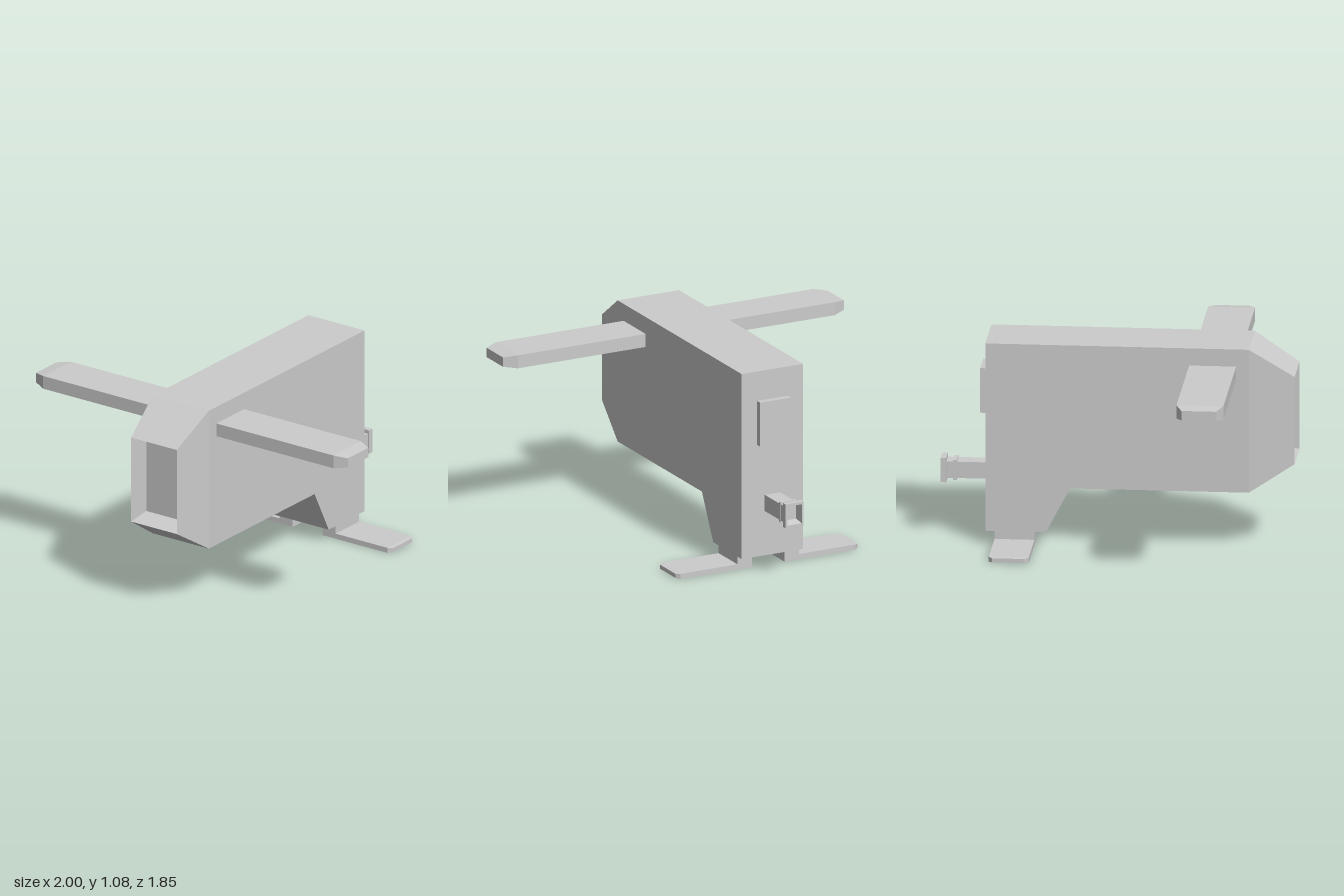
import * as THREE from 'three';

const material = new THREE.MeshStandardMaterial({ color: 0xcccccc, flatShading: true });

function addMesh(parent, name, geometry) {
  const mesh = new THREE.Mesh(geometry, material);
  mesh.name = name;
  parent.add(mesh);
  return mesh;
}

// Rectangular sections [z, halfWidth, bottom, top] skinned in order; the last one is capped.
// Sections that turn back towards the start form a recess.
function loft(sections) {
  const points = [];
  const index = [];
  sections.forEach(([z, w, y0, y1], s) => {
    points.push(-w, y0, z, w, y0, z, w, y1, z, -w, y1, z);
    if (s === 0) return;
    const a = (s - 1) * 4, b = s * 4;
    for (let i = 0; i < 4; i++) {
      const j = (i + 1) % 4;
      index.push(a + i, a + j, b + j, a + i, b + j, b + i);
    }
  });
  const e = (sections.length - 1) * 4;
  index.push(e, e + 1, e + 2, e, e + 2, e + 3);
  const indexed = new THREE.BufferGeometry();
  indexed.setAttribute('position', new THREE.Float32BufferAttribute(points, 3));
  indexed.setIndex(index);
  const geometry = indexed.toNonIndexed();
  geometry.computeVertexNormals();
  return geometry;
}

function box(x0, x1, y0, y1, z0, z1) {
  return new THREE.BoxGeometry(x1 - x0, y1 - y0, z1 - z0)
    .translate((x0 + x1) / 2, (y0 + y1) / 2, (z0 + z1) / 2);
}

export function createModel() {
  const model = new THREE.Group();

  // Slab body with the lower rear leg, from its side profile
  const profile = new THREE.Shape([
    [0.74, 1.08], [-0.63, 1.08], [-0.63, 0.07], [-0.315, 0.07], [-0.19, 0.31], [0.74, 0.31],
  ].map(([z, y]) => new THREE.Vector2(z, y)));
  const bodyGeometry = new THREE.ExtrudeGeometry(profile, { depth: 0.36, bevelEnabled: false });
  bodyGeometry.translate(0, 0, -0.18).rotateY(-Math.PI / 2);
  addMesh(model, 'body', bodyGeometry);

  // Tapered nose with a recessed front panel
  addMesh(model, 'nose', loft([
    [0.74, 0.18, 0.31, 1.08],
    [0.975, 0.146, 0.46, 0.93],
    [0.85, 0.14, 0.48, 0.91],
  ]));

  // Raised panel on the back
  addMesh(model, 'rearPanel', box(-0.09, 0.09, 0.68, 0.92, -0.665, -0.63));

  // Square tail tube with a collar and an open end flange
  const tail = loft([
    [0.63, 0.045, 0.312, 0.4],
    [0.79, 0.045, 0.312, 0.4],
    [0.79, 0.047, 0.302, 0.41],
    [0.81, 0.047, 0.302, 0.41],
    [0.81, 0.045, 0.312, 0.4],
    [0.845, 0.045, 0.312, 0.4],
    [0.845, 0.053, 0.29, 0.42],
    [0.875, 0.053, 0.29, 0.42],
    [0.875, 0.042, 0.303, 0.407],
    [0.825, 0.036, 0.315, 0.395],
  ]);
  addMesh(model, 'tailTube', tail.rotateY(Math.PI));

  // Mirrored arms and feet with chamfered tips
  for (const side of [1, -1]) {
    const prefix = side > 0 ? 'left' : 'right';
    const turn = side * Math.PI / 2;

    const arm = loft([
      [0.17, 0.122, 0.917, 0.988],
      [0.93, 0.122, 0.917, 0.988],
      [1, 0.09, 0.927, 0.978],
    ]);
    addMesh(model, prefix + 'Arm', arm.rotateY(turn).translate(0, 0, 0.552));

    const foot = new THREE.Group();
    foot.name = prefix + 'Foot';
    model.add(foot);
    const plate = loft([
      [0.17, 0.104, 0, 0.028],
      [0.513, 0.104, 0, 0.028],
      [0.533, 0.085, 0.003, 0.025],
    ]);
    addMesh(foot, 'footPlate', plate.rotateY(turn).translate(0, 0, -0.479));
    const xs = side > 0 ? [0.095, 0.18] : [-0.18, -0.095];
    addMesh(foot, 'footPost', box(...xs, 0, 0.075, -0.583, -0.375));
  }

  return model;
}
